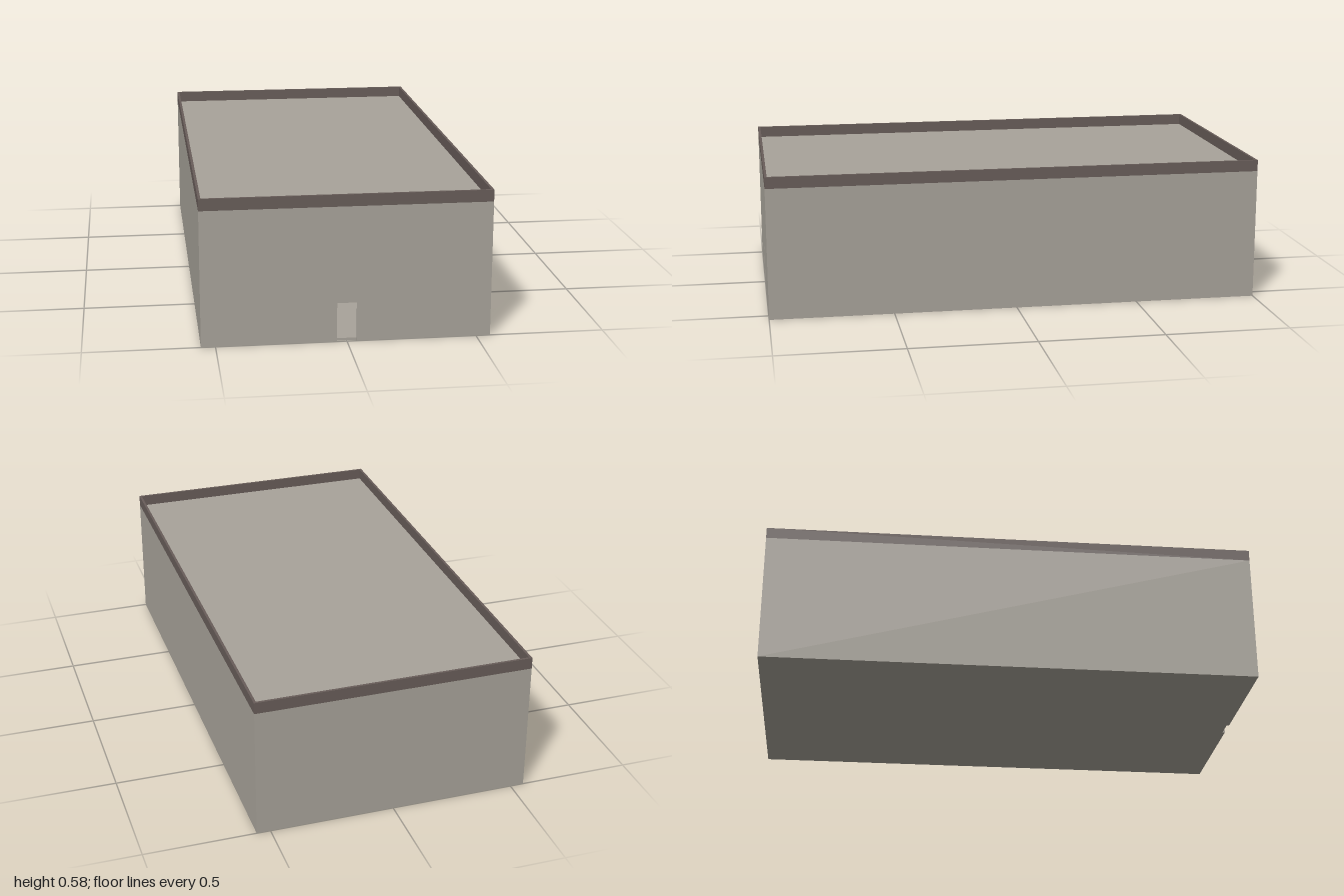
import * as THREE from 'three';

const W = 1.11, D = 2, T = 0.01;          // footprint and wall thickness
const WALL_H = 0.532, TOP = 0.578;        // roof level and parapet top
const DOOR_W = 0.076, DOOR_H = 0.154, FLOOR_H = 0.01;

export function createModel() {
  const model = new THREE.Group();
  model.name = 'building';

  const wallMat = new THREE.MeshStandardMaterial({ color: 0xa8a39a });
  wallMat.name = 'warm grey plaster';
  const trimMat = new THREE.MeshStandardMaterial({ color: 0x685d59 });
  trimMat.name = 'dark brown trim';

  const add = (name, geometry, material, x, y, z) => {
    const mesh = new THREE.Mesh(geometry, material);
    mesh.name = name;
    mesh.position.set(x, y, z);
    model.add(mesh);
    return mesh;
  };
  const box = (name, w, h, d, material, x, y, z) =>
    add(name, new THREE.BoxGeometry(w, h, d), material, x, y, z);

  const innerW = W - 2 * T, innerD = D - 2 * T;

  // Long side walls
  for (const s of [-1, 1]) {
    box(s > 0 ? 'leftWall' : 'rightWall', T, WALL_H, D, wallMat, s * (W - T) / 2, WALL_H / 2, 0);
  }

  // Plain back wall
  box('backWall', innerW, WALL_H, T, wallMat, 0, WALL_H / 2, -(D - T) / 2);

  // Front wall with the doorway cut up from the ground
  const h = innerW / 2, d = DOOR_W / 2;
  const front = new THREE.Shape([
    [-h, 0], [-d, 0], [-d, DOOR_H], [d, DOOR_H], [d, 0], [h, 0], [h, WALL_H], [-h, WALL_H],
  ].map(([x, y]) => new THREE.Vector2(x, y)));
  add('frontWall', new THREE.ExtrudeGeometry(front, { depth: T, bevelEnabled: false }),
    wallMat, 0, 0, D / 2 - T);

  // Floor and roof slabs between the walls
  box('floor', innerW, FLOOR_H, innerD, wallMat, 0, FLOOR_H / 2, 0);
  box('roof', innerW, T, innerD, wallMat, 0, WALL_H - T / 2, 0);

  // Parapet ring, flush with the outer walls
  const rect = (Type, w, l) => {
    const p = new Type();
    p.moveTo(-w / 2, -l / 2);
    p.lineTo(w / 2, -l / 2);
    p.lineTo(w / 2, l / 2);
    p.lineTo(-w / 2, l / 2);
    p.closePath();
    return p;
  };
  const ring = rect(THREE.Shape, W, D);
  ring.holes.push(rect(THREE.Path, innerW, innerD));
  const parapet = new THREE.ExtrudeGeometry(ring, { depth: TOP - WALL_H, bevelEnabled: false });
  parapet.rotateX(-Math.PI / 2);
  add('parapet', parapet, trimMat, 0, WALL_H, 0);

  return model;
}
